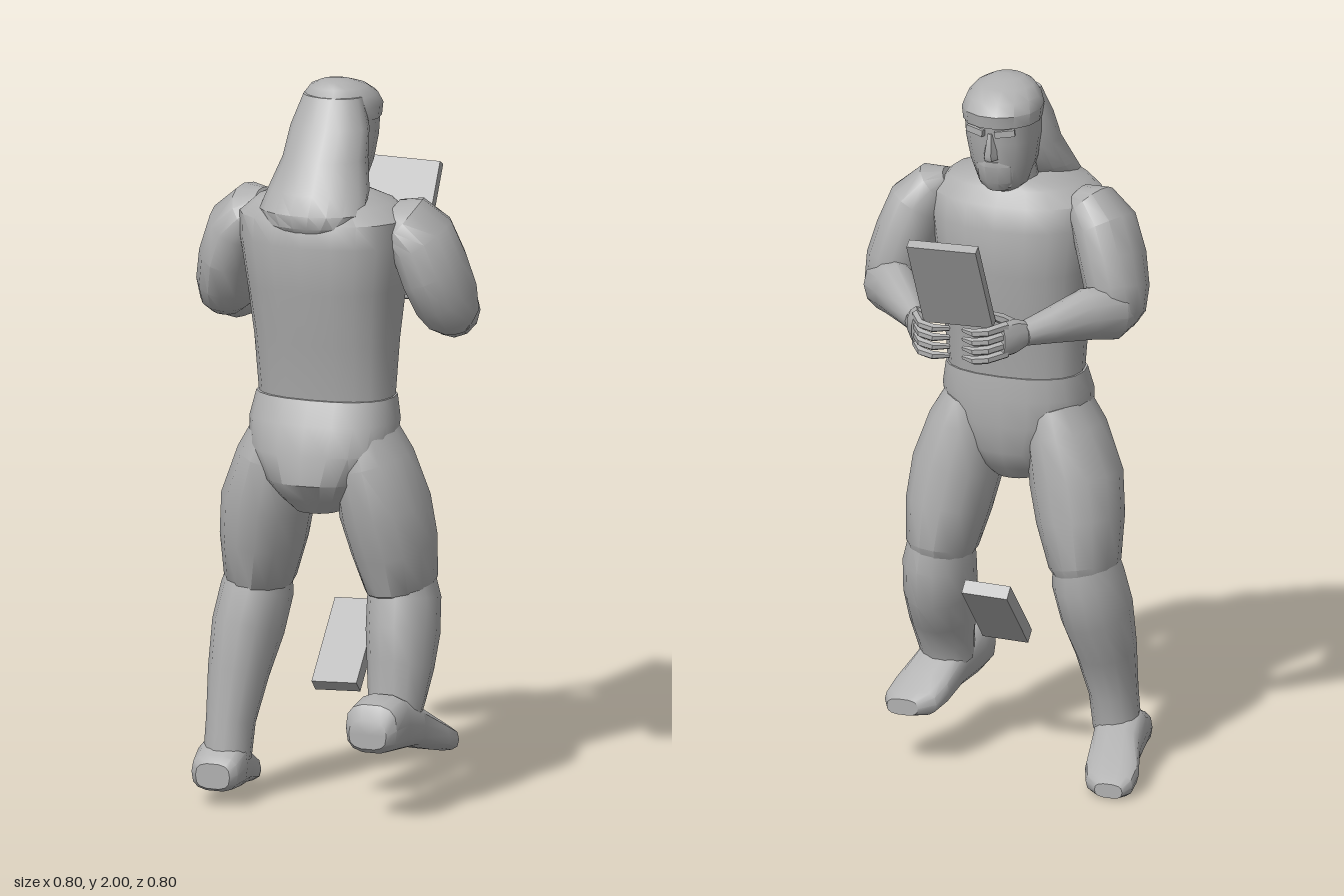
import * as THREE from 'three';
import { toCreasedNormals } from 'three/addons/utils/BufferGeometryUtils.js';

const grey = new THREE.MeshStandardMaterial({ color: 0xb0b0b0 });
grey.name = 'plain grey';

const X = new THREE.Vector3(1, 0, 0);
const Y = new THREE.Vector3(0, 1, 0);

// Skin through rings [x, y, z, ru, rv]; ru lies along ref, rv across it.
// A fixed axis keeps all rings parallel; power below 1 squares them off.
function loft(rings, { ref = X, axis = null, sides = 14, power = 1 } = {}) {
  const pts = rings.map(r => new THREE.Vector3(r[0], r[1], r[2]));
  const n = rings.length, pos = [], idx = [];
  const bend = v => Math.sign(v) * Math.pow(Math.abs(v), power);
  rings.forEach((r, i) => {
    const t = axis ? axis.clone()
      : pts[Math.min(i + 1, n - 1)].clone().sub(pts[Math.max(i - 1, 0)]).normalize();
    const u = ref.clone().addScaledVector(t, -ref.dot(t)).normalize();
    const v = t.clone().cross(u);
    for (let j = 0; j < sides; j++) {
      const a = (j / sides) * Math.PI * 2;
      const p = pts[i].clone().addScaledVector(u, bend(Math.cos(a)) * r[3])
        .addScaledVector(v, bend(Math.sin(a)) * r[4]);
      pos.push(p.x, p.y, p.z);
    }
  });
  pos.push(...pts[0].toArray(), ...pts[n - 1].toArray());
  for (let j = 0; j < sides; j++) {
    const k = (j + 1) % sides;
    for (let i = 0; i < n - 1; i++) {
      const a = i * sides + j, b = i * sides + k;
      idx.push(a, b, a + sides, b, b + sides, a + sides);
    }
    idx.push(n * sides, k, j, n * sides + 1, (n - 1) * sides + j, (n - 1) * sides + k);
  }
  const g = new THREE.BufferGeometry();
  g.setAttribute('position', new THREE.Float32BufferAttribute(pos, 3));
  g.setIndex(idx);
  return toCreasedNormals(g, 0.65);
}

function add(parent, name, geometry) {
  const m = new THREE.Mesh(geometry, grey);
  m.name = name;
  parent.add(m);
  return m;
}

// Horizontal rings [y, zFront, zBack, rx], from bottom to top
const stack = (rows, opts = {}) => loft(
  rows.map(([y, f, b, rx]) => [0, y, (f + b) / 2, rx, (b - f) / 2]), { axis: Y, ...opts });

function buildHead() {
  const head = new THREE.Group();
  head.name = 'head';
  add(head, 'neck', stack([[1.62, 0.08, 0.24, 0.085], [1.76, 0.06, 0.2, 0.075]]));
  add(head, 'face', stack([
    [1.68, 0.06, 0.16, 0.04], [1.705, 0.02, 0.18, 0.065], [1.77, 0.0, 0.2, 0.088],
    [1.84, -0.012, 0.2, 0.1], [1.9, -0.02, 0.2, 0.102]], { power: 0.9 }));
  add(head, 'cap', stack([
    [1.89, -0.032, 0.2, 0.106], [1.925, -0.038, 0.21, 0.11], [1.955, -0.015, 0.205, 0.1],
    [1.98, 0.03, 0.19, 0.078], [1.995, 0.08, 0.165, 0.045], [2.0, 0.11, 0.13, 0.012]]));
  add(head, 'hair', stack([
    [1.612, 0.32, 0.37, 0.07], [1.635, 0.27, 0.388, 0.12], [1.67, 0.2, 0.39, 0.15],
    [1.72, 0.14, 0.358, 0.142], [1.8, 0.1, 0.305, 0.118], [1.88, 0.09, 0.25, 0.111],
    [1.96, 0.09, 0.205, 0.085]], { sides: 18 }));
  // Nose, brows and beard
  add(head, 'nose', stack([
    [1.795, -0.03, 0.02, 0.02], [1.81, -0.036, 0.02, 0.019], [1.87, -0.02, 0.02, 0.01]], { sides: 6 }));
  add(head, 'beard', stack([
    [1.695, 0.02, 0.1, 0.035], [1.72, 0.005, 0.1, 0.055], [1.77, -0.008, 0.1, 0.06],
    [1.785, -0.008, 0.08, 0.045]], { sides: 10 }));
  for (const s of [-1, 1]) {
    const brow = add(head, 'brow', new THREE.BoxGeometry(0.055, 0.018, 0.03));
    brow.position.set(s * 0.04, 1.875, -0.004);
    brow.rotation.set(0, -s * 0.3, s * 0.12);
  }
  return head;
}

function buildArm(s) {
  const arm = new THREE.Group();
  arm.name = s > 0 ? 'leftSideArm' : 'rightSideArm';
  const side = rows => rows.map(([x, ...r]) => [s * x, ...r]);
  add(arm, 'upperArm', loft(side([
    [0.185, 1.655, 0.18, 0.035, 0.06], [0.22, 1.635, 0.175, 0.07, 0.1], [0.265, 1.585, 0.16, 0.086, 0.12],
    [0.295, 1.5, 0.145, 0.088, 0.124], [0.318, 1.42, 0.12, 0.085, 0.112],
    [0.332, 1.36, 0.1, 0.07, 0.085], [0.335, 1.325, 0.095, 0.04, 0.045]])));
  add(arm, 'forearm', loft(side([
    [0.355, 1.365, 0.13, 0.045, 0.04], [0.325, 1.372, 0.07, 0.078, 0.07], [0.275, 1.382, 0, 0.074, 0.062],
    [0.2, 1.37, -0.1, 0.048, 0.045], [0.155, 1.365, -0.165, 0.034, 0.032]]), { ref: Y, sides: 12 }));
  add(arm, 'palm', loft(side([
    [0.16, 1.365, -0.155, 0.033, 0.026], [0.142, 1.368, -0.2, 0.05, 0.026],
    [0.12, 1.368, -0.245, 0.05, 0.018]]), { ref: Y, sides: 10 }));
  // Fingers curl round the far side, the thumb rests on the near side
  for (let i = 0; i < 4; i++) {
    const y = 1.406 - i * 0.026;
    add(arm, 'finger', loft(side([
      [0.13, y, -0.23, 0.014, 0.014], [0.095, y - 0.005, -0.283, 0.013, 0.013],
      [0.06, y - 0.01, -0.29, 0.012, 0.012], [0.02, y - 0.014, -0.265, 0.007, 0.007]]), { ref: Y, sides: 6 }));
  }
  add(arm, 'thumb', loft(side([
    [0.145, 1.39, -0.185, 0.018, 0.018], [0.11, 1.42, -0.215, 0.015, 0.015],
    [0.07, 1.44, -0.24, 0.009, 0.009]]), { ref: Y, sides: 6 }));
  return arm;
}

// Leg rings run from hip to ankle; shoe rows are [x, yBottom, yTop, z, halfWidth]
function buildLeg(name, thigh, shin, shoe) {
  const leg = new THREE.Group();
  leg.name = name;
  add(leg, 'thigh', loft(thigh));
  add(leg, 'shin', loft(shin));
  add(leg, 'shoe', loft(shoe.map(([x, b, t, z, w]) => [x, (b + t) / 2, z, w, (t - b) / 2]),
    { axis: new THREE.Vector3(0, 0, -1), power: 0.7 }));
  return leg;
}

export function createModel() {
  const model = new THREE.Group();
  model.name = 'figure';

  add(model, 'torso', stack([
    [1.14, 0.068, 0.31, 0.19], [1.3, 0.045, 0.335, 0.2], [1.45, 0.015, 0.37, 0.216],
    [1.58, 0.01, 0.384, 0.235], [1.645, 0.03, 0.375, 0.235], [1.685, 0.06, 0.35, 0.19],
    [1.71, 0.09, 0.29, 0.1]], { sides: 20, power: 0.85 }));
  add(model, 'pelvis', stack([
    [0.83, 0.14, 0.31, 0.065], [0.87, 0.1, 0.345, 0.11], [0.92, 0.075, 0.382, 0.15],
    [1.0, 0.062, 0.378, 0.2], [1.08, 0.058, 0.35, 0.208], [1.145, 0.062, 0.32, 0.196]],
  { sides: 20, power: 0.85 }));
  model.add(buildHead(), buildArm(1), buildArm(-1));

  // Raised leg
  model.add(buildLeg('raisedLeg', [
    [0.12, 1.05, 0.2, 0.08, 0.12], [0.14, 0.97, 0.2, 0.105, 0.145], [0.168, 0.84, 0.185, 0.122, 0.15],
    [0.185, 0.73, 0.16, 0.115, 0.14], [0.197, 0.62, 0.14, 0.095, 0.125], [0.2, 0.59, 0.14, 0.08, 0.1]],
  [[0.2, 0.64, 0.14, 0.085, 0.11], [0.205, 0.58, 0.14, 0.097, 0.12], [0.212, 0.49, 0.165, 0.097, 0.125],
    [0.217, 0.4, 0.195, 0.09, 0.1], [0.217, 0.32, 0.22, 0.08, 0.075], [0.212, 0.26, 0.23, 0.07, 0.07]],
  [[0.205, 0.21, 0.29, 0.398, 0.055], [0.207, 0.195, 0.33, 0.375, 0.075], [0.21, 0.188, 0.345, 0.3, 0.08],
    [0.222, 0.18, 0.305, 0.2, 0.072], [0.245, 0.155, 0.245, 0.11, 0.08], [0.258, 0.143, 0.215, 0.06, 0.075],
    [0.27, 0.15, 0.195, 0.028, 0.045]]));

  // Standing leg
  model.add(buildLeg('standingLeg', [
    [-0.12, 1.05, 0.2, 0.08, 0.12], [-0.14, 0.97, 0.2, 0.105, 0.145], [-0.175, 0.84, 0.185, 0.125, 0.15],
    [-0.195, 0.73, 0.165, 0.118, 0.14], [-0.215, 0.61, 0.145, 0.095, 0.122], [-0.218, 0.58, 0.145, 0.08, 0.1]],
  [[-0.215, 0.63, 0.145, 0.085, 0.11], [-0.222, 0.57, 0.15, 0.096, 0.12], [-0.238, 0.47, 0.175, 0.096, 0.12],
    [-0.252, 0.35, 0.21, 0.083, 0.09], [-0.262, 0.22, 0.24, 0.067, 0.072], [-0.268, 0.12, 0.25, 0.065, 0.07]],
  [[-0.268, 0.05, 0.12, 0.355, 0.05], [-0.27, 0.04, 0.14, 0.335, 0.068], [-0.275, 0.035, 0.17, 0.27, 0.075],
    [-0.295, 0.025, 0.14, 0.17, 0.07], [-0.322, 0.01, 0.09, 0.07, 0.078], [-0.335, 0, 0.065, 0.015, 0.068],
    [-0.345, 0.005, 0.045, -0.018, 0.04]]));

  // Slab held in the hands
  const slab = add(model, 'heldSlab', new THREE.BoxGeometry(0.198, 0.29, 0.028));
  slab.position.set(-0.004, 1.54, -0.318);
  slab.rotation.set(-0.47, 0.04, 0);

  // Small slab between the legs
  const small = add(model, 'lowSlab', new THREE.BoxGeometry(0.13, 0.275, 0.04));
  small.position.set(0.043, 0.437, 0.15);
  small.rotation.set(-0.8, 0, 0.05);

  return model;
}
